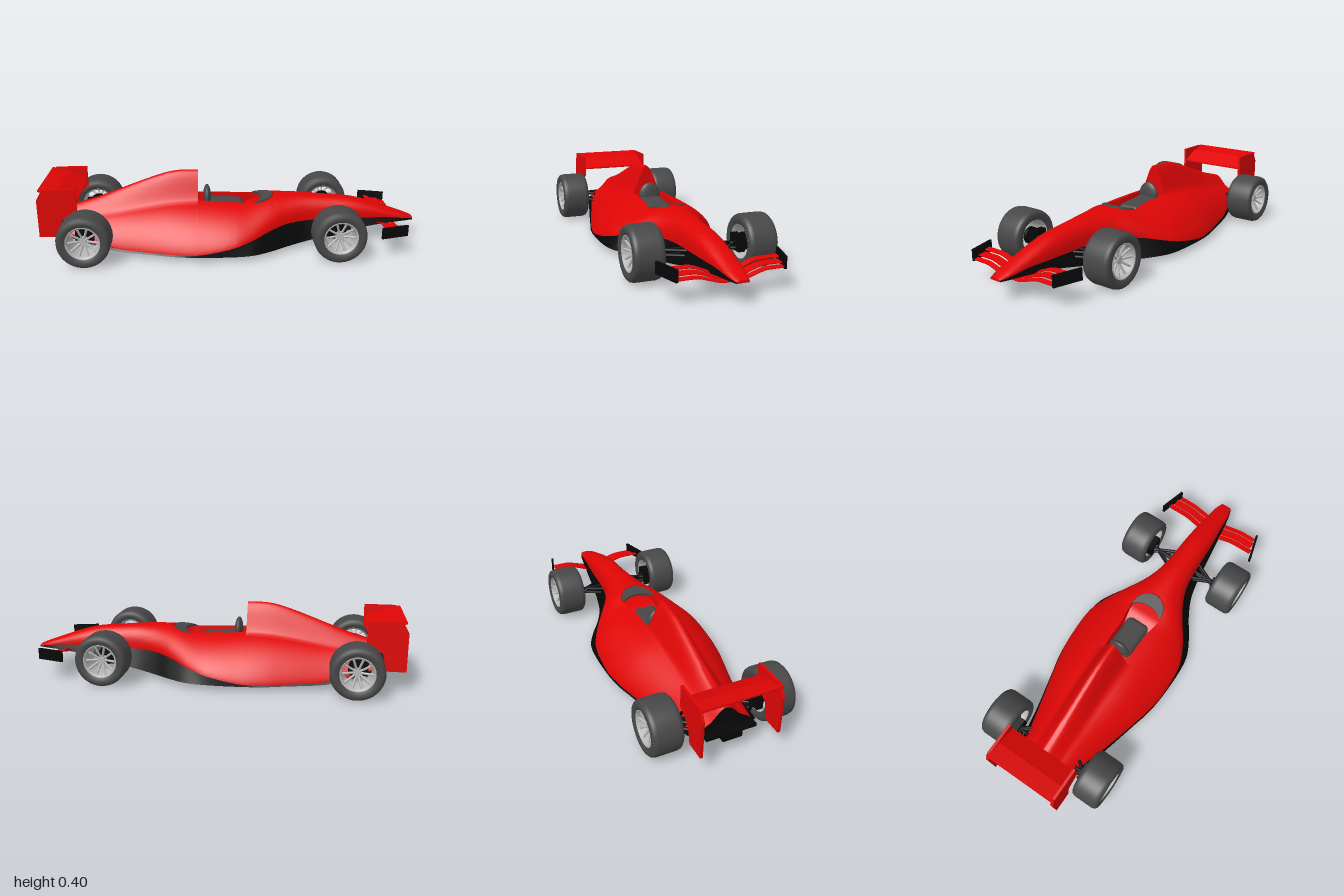
import * as THREE from 'three';
import { toCreasedNormals } from 'three/addons/utils/BufferGeometryUtils.js';
import { RoundedBoxGeometry } from 'three/addons/geometries/RoundedBoxGeometry.js';

const mat = (name, color) => {
  const m = new THREE.MeshStandardMaterial({ color, side: THREE.DoubleSide });
  m.name = name;
  return m;
};
const red = mat('red paint', 0xdf0505);
const black = mat('black trim', 0x070707);
const rubber = mat('dark grey', 0x474747);
const metal = mat('wheel metal', 0xb8b8b8);

// Body stations, nose at +x: x, red half width, red edge y, crown y, cover fin height, skirt half width, skirt base y
const stations = [
  [-0.86, 0.14, 0.1, 0.165, 0.05, 0.165, 0.09],
  [-0.7, 0.185, 0.06, 0.2, 0.062, 0.2, 0.05],
  [-0.6, 0.215, 0.04, 0.215, 0.085, 0.225, 0.03],
  [-0.4, 0.27, 0.035, 0.245, 0.128, 0.275, 0.027],
  [-0.3, 0.295, 0.035, 0.255, 0.143, 0.3, 0.026],
  [-0.18, 0.312, 0.038, 0.257, 0.144, 0.314, 0.026],
  [0, 0.305, 0.07, 0.25, 0.14, 0.315, 0.026],
  [0.1, 0.265, 0.095, 0.247, 0, 0.3, 0.026],
  [0.2, 0.2, 0.122, 0.26, 0, 0.25, 0.026],
  [0.3, 0.135, 0.135, 0.262, 0, 0.185, 0.027],
  [0.4, 0.095, 0.135, 0.259, 0, 0.135, 0.032],
  [0.5, 0.08, 0.135, 0.25, 0, 0.11, 0.045],
  [0.65, 0.072, 0.135, 0.235, 0, 0.09, 0.075],
  [0.75, 0.065, 0.133, 0.21, 0, 0.078, 0.09],
  [0.85, 0.055, 0.13, 0.175, 0, 0.064, 0.1],
  [0.95, 0.045, 0.118, 0.138, 0, 0.048, 0.105],
  [1, 0.03, 0.11, 0.118, 0, 0.032, 0.105],
];
// Cockpit opening half width along x
const opening = [[-0.18, 0.068], [-0.1, 0.075], [0, 0.075], [0.08, 0.088], [0.15, 0.09], [0.2, 0.065], [0.23, 0.02]];

// Smooth table lookup of column c at x
function lookup(table, x, c) {
  const n = table.length;
  let i = 0;
  while (i < n - 2 && x > table[i + 1][0]) i++;
  const slope = (k) => {
    const a = table[Math.max(k - 1, 0)], b = table[Math.min(k + 1, n - 1)];
    return (b[c] - a[c]) / (b[0] - a[0]);
  };
  const p = table[i], q = table[i + 1], d = q[0] - p[0];
  const t = THREE.MathUtils.clamp((x - p[0]) / d, 0, 1), t2 = t * t, t3 = t2 * t;
  return (2 * t3 - 3 * t2 + 1) * p[c] + (t3 - 2 * t2 + t) * d * slope(i)
    + (3 * t2 - 2 * t3) * q[c] + (t3 - t2) * d * slope(i + 1);
}

// Surface through equal-length rows of points
function loft(rows) {
  const n = rows[0].length, index = [];
  for (let i = 0; i < rows.length - 1; i++) {
    for (let j = 0; j < n - 1; j++) {
      const a = i * n + j, b = a + n;
      index.push(a, a + 1, b, b, a + 1, b + 1);
    }
  }
  const g = new THREE.BufferGeometry();
  g.setAttribute('position', new THREE.Float32BufferAttribute(rows.flat(2), 3));
  g.setIndex(index);
  return toCreasedNormals(g, 0.7);
}

// One shell section, from the -z edge over the top to the +z edge
function bodyRow(x, fin, tub) {
  const [w, yE, yS, f] = [1, 2, 3, 4].map((c) => lookup(stations, x, c));
  const h = x <= -0.18 && !tub ? 0.085 : x < 0.23 ? lookup(opening, x, 1) : Math.min(0.02 + (x - 0.23) * 0.3, w * 0.5);
  const e = 1.5 - 0.85 * THREE.MathUtils.smoothstep(x, 0, 0.5);
  const y = (z) => yE + (yS - yE) * Math.max(0, 1 - (z / w) ** 2) ** (e / 2)
    + (fin && z < 0.085 ? f * Math.cos(Math.PI * z / 0.17) ** 1.6 : 0);
  const tubFloor = 0.16 + 0.035 * THREE.MathUtils.smoothstep(x, 0.03, 0.12);
  const half = [];
  for (let j = 0; j <= 10; j++) {
    const z = h * j / 10;
    half.push([x, tub ? tubFloor : y(z), z]);
  }
  const t0 = Math.asin(h / w);
  for (let j = 0; j <= 14; j++) {
    const z = w * Math.sin(t0 + (Math.PI / 2 - t0) * j / 14);
    half.push([x, y(z), z]);
  }
  return [...half.slice(1).reverse().map(([a, b, c]) => [a, b, -c]), ...half];
}

const range = (a, b, n) => Array.from({ length: n + 1 }, (_, i) => a + (b - a) * i / n);

// Straight rod between two points
function rod(a, b, r) {
  const p = new THREE.Vector3(...a), q = new THREE.Vector3(...b);
  const g = new THREE.CylinderGeometry(r, r, p.distanceTo(q), 8);
  const dir = q.clone().sub(p).normalize();
  g.applyQuaternion(new THREE.Quaternion().setFromUnitVectors(new THREE.Vector3(0, 1, 0), dir));
  const mid = p.add(q).multiplyScalar(0.5);
  return g.translate(mid.x, mid.y, mid.z);
}

// Flat outline in x and y, extruded along z and centred
function plate(points, depth) {
  const s = new THREE.Shape(points.map((p) => new THREE.Vector2(...p)));
  return new THREE.ExtrudeGeometry(s, { depth, bevelEnabled: false }).translate(0, 0, -depth / 2);
}

// Wheel with its outer face towards +z
function makeWheel(add, name) {
  const wheel = new THREE.Group();
  wheel.name = name;
  const turn = (pts) => new THREE.LatheGeometry(pts.map((p) => new THREE.Vector2(...p)), 48).rotateX(Math.PI / 2);
  add(wheel, 'tyre', turn([[0.086, -0.068], [0.104, -0.077], [0.122, -0.075], [0.132, -0.066], [0.136, -0.05],
    [0.136, 0.05], [0.132, 0.066], [0.122, 0.075], [0.104, 0.077], [0.086, 0.068]]), rubber);
  add(wheel, 'rim', turn([[0.088, 0.069], [0.081, 0.071], [0.075, 0.055], [0.072, 0], [0.075, -0.055], [0.086, -0.069]]), metal);
  add(wheel, 'hub', new THREE.CylinderGeometry(0.018, 0.022, 0.03, 20).rotateX(Math.PI / 2).translate(0, 0, 0.03), metal);
  add(wheel, 'brake', new THREE.CylinderGeometry(0.045, 0.045, 0.02, 24).rotateX(Math.PI / 2).translate(0, 0, -0.04), black);
  for (let i = 0; i < 10; i++) {
    const a = i * Math.PI / 5;
    const at = (r, z) => [r * Math.cos(a), r * Math.sin(a), z];
    add(wheel, 'spoke', rod(at(0.012, 0.033), at(0.077, 0.056), 0.0062), metal);
  }
  add(wheel, 'axle', rod([0, 0, -0.1], [0, 0, 0.02], 0.012), black);
  return wheel;
}

export function createModel() {
  const car = new THREE.Group();
  car.name = 'racingCar';
  const add = (parent, name, geometry, material) => {
    const m = new THREE.Mesh(geometry, material);
    m.name = name;
    parent.add(m);
    return m;
  };

  // Upper shell with engine cover, cockpit tub and nose
  const rows = [
    ...range(-0.86, -0.18, 34).map((x) => bodyRow(x, true, false)),
    bodyRow(-0.18, false, false),
    ...range(-0.18, 0.23, 24).map((x) => bodyRow(x, false, true)),
    ...range(0.23, 1, 40).map((x) => bodyRow(x, false, false)),
  ];
  add(car, 'bodyShell', loft(rows), red);

  // Black lower sides, with closed floors under nose and tail
  const edge = (x, s) => [[x, lookup(stations, x, 2), s * lookup(stations, x, 1)],
    [x, lookup(stations, x, 6), s * lookup(stations, x, 5)]];
  for (const s of [1, -1]) add(car, 'lowerSide', loft(range(-0.86, 1, 90).map((x) => edge(x, s))), black);
  const floor = (a, b) => loft(range(a, b, 16).map((x) => [edge(x, 1)[1], edge(x, -1)[1]]));
  add(car, 'noseFloor', floor(0.58, 1), black);
  add(car, 'tailFloor', floor(-0.86, -0.6), black);

  // End caps
  for (const [x, row, name, paint] of [[-0.86, rows[0], 'tailCap', black], [1, rows[rows.length - 1], 'noseCap', red]]) {
    const base = row.map((p) => [x, lookup(stations, x, 6), p[2]]);
    add(car, name, loft([row, base]), paint);
  }
  add(car, 'gearbox', new THREE.BoxGeometry(0.08, 0.04, 0.1).translate(-0.89, 0.105, 0), black);
  add(car, 'rearBeam', new THREE.BoxGeometry(0.04, 0.016, 0.26).translate(-0.9, 0.115, 0), black);

  // Seat and curved windscreen
  add(car, 'seatBack', new THREE.SphereGeometry(1, 28, 18).scale(0.022, 0.072, 0.06).translate(-0.132, 0.243, 0), rubber);
  add(car, 'seatBase', new RoundedBoxGeometry(0.215, 0.06, 0.132, 5, 0.029).rotateZ(-0.08).translate(-0.042, 0.203, 0), rubber);
  const crescent = new THREE.Shape();
  crescent.moveTo(0.125, -0.09);
  crescent.bezierCurveTo(0.265, -0.088, 0.265, 0.088, 0.125, 0.09);
  crescent.bezierCurveTo(0.175, 0.05, 0.175, -0.05, 0.125, -0.09);
  const screen = new THREE.ExtrudeGeometry(crescent, { depth: 0.012, bevelEnabled: false, curveSegments: 16 });
  add(car, 'windscreen', screen.rotateX(-Math.PI / 2).rotateZ(0.2).translate(0, 0.204, 0), rubber);

  // Rear wing
  add(car, 'rearWing', plate([[-0.99, 0.356], [-0.9, 0.335], [-0.8, 0.288], [-0.8, 0.296], [-0.9, 0.345], [-0.99, 0.364]], 0.4), red);
  const fin = [[-1, 0.11], [-0.9, 0.11], [-0.88, 0.2], [-0.8, 0.25], [-0.8, 0.365], [-0.97, 0.365], [-1, 0.31]];
  for (const s of [1, -1]) add(car, 'rearEndPlate', plate(fin, 0.014).translate(0, 0, s * 0.197), red);

  // Front wing: three slats dipping under the nose, ending at slanted end plates
  const dip = (z) => 0.12 - 0.036 * (1 - THREE.MathUtils.smoothstep(Math.abs(z), 0.03, 0.18));
  for (const [x, dy, chord] of [[0.806, 0.016, 0.03], [0.85, 0.006, 0.044], [0.893, -0.004, 0.026]]) {
    const end = 0.272 - (x + chord / 2 - 0.835) * 0.27;
    const slat = range(-end, end, 40).map((z) => {
      const y = dip(z) + dy * Math.min(1, 0.35 + Math.abs(z) * 5), c = chord / 2;
      return [[x - c, y + 0.005, z], [x + c, y, z], [x + c, y - 0.004, z], [x - c, y, z], [x - c, y + 0.005, z]];
    });
    add(car, 'frontWingSlat', loft(slat), red);
  }
  for (const s of [1, -1]) {
    const end = add(car, 'frontEndPlate', new THREE.BoxGeometry(0.148, 0.058, 0.012), black);
    end.position.set(0.835, 0.135, s * 0.278);
    end.rotation.y = s * 0.27;
  }

  // Wheels and suspension arms: x, z, arm root z, arm spread, arm heights
  const corners = [['frontWheel', 0.54, 0.287, 0.07, 0.05, [0.105, 0.13]], ['rearWheel', -0.755, 0.293, 0.155, 0.04, [0.1, 0.14]]];
  for (const s of [1, -1]) {
    for (const [name, x, z, root, spread, heights] of corners) {
      const wheel = makeWheel(add, name);
      wheel.position.set(x, 0.136, s * z);
      if (s < 0) wheel.rotation.y = Math.PI;
      car.add(wheel);
      for (const y of heights) {
        for (const d of [-spread, 0, spread]) {
          add(car, 'suspensionArm', rod([x - 0.015 - d, y, s * root], [x - 0.015 + d * 0.6, y, s * 0.235], 0.008), black);
        }
      }
      add(car, 'upright', new THREE.BoxGeometry(0.09, 0.08, 0.035).translate(x - 0.012, 0.13, s * 0.216), black);
    }
  }
  return car;
}
